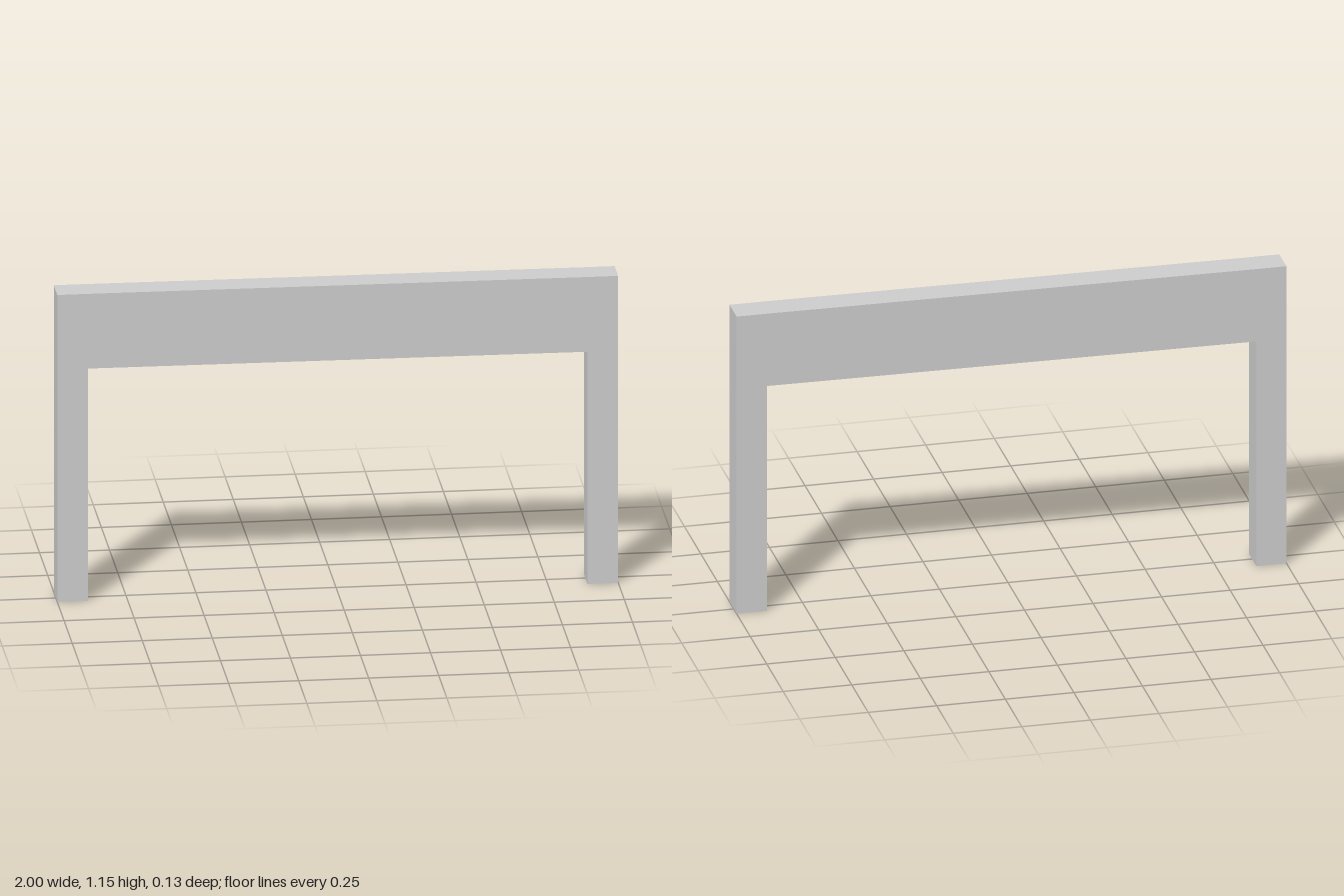
import * as THREE from 'three';

const HEIGHT = 1.15, BEAM_BOTTOM = 0.87, LEG = 0.11, DEPTH = 0.108, OFFSET = 0.011;

export function createModel() {
  const group = new THREE.Group();
  const material = new THREE.MeshStandardMaterial({ color: 0xcccccc, flatShading: true });
  const add = (name, geometry, x, y, z) => {
    const mesh = new THREE.Mesh(geometry, material);
    mesh.name = name;
    mesh.position.set(x, y, z);
    group.add(mesh);
  };

  // Square full-height legs, slightly staggered in depth
  for (const side of [-1, 1]) {
    add(side > 0 ? 'leftLeg' : 'rightLeg', new THREE.BoxGeometry(LEG, HEIGHT, DEPTH),
      side * (1 - LEG / 2), HEIGHT / 2, side * OFFSET);
  }

  // Deep crossbeam, its ends shifted in depth to meet each leg flush
  const span = 2 - 2 * LEG;
  const beam = new THREE.BoxGeometry(span, HEIGHT - BEAM_BOTTOM, DEPTH);
  const p = beam.attributes.position;
  for (let i = 0; i < p.count; i++) p.setZ(i, p.getZ(i) + Math.sign(p.getX(i)) * OFFSET);
  beam.computeVertexNormals();
  add('crossbeam', beam, 0, (HEIGHT + BEAM_BOTTOM) / 2, 0);

  return group;
}
